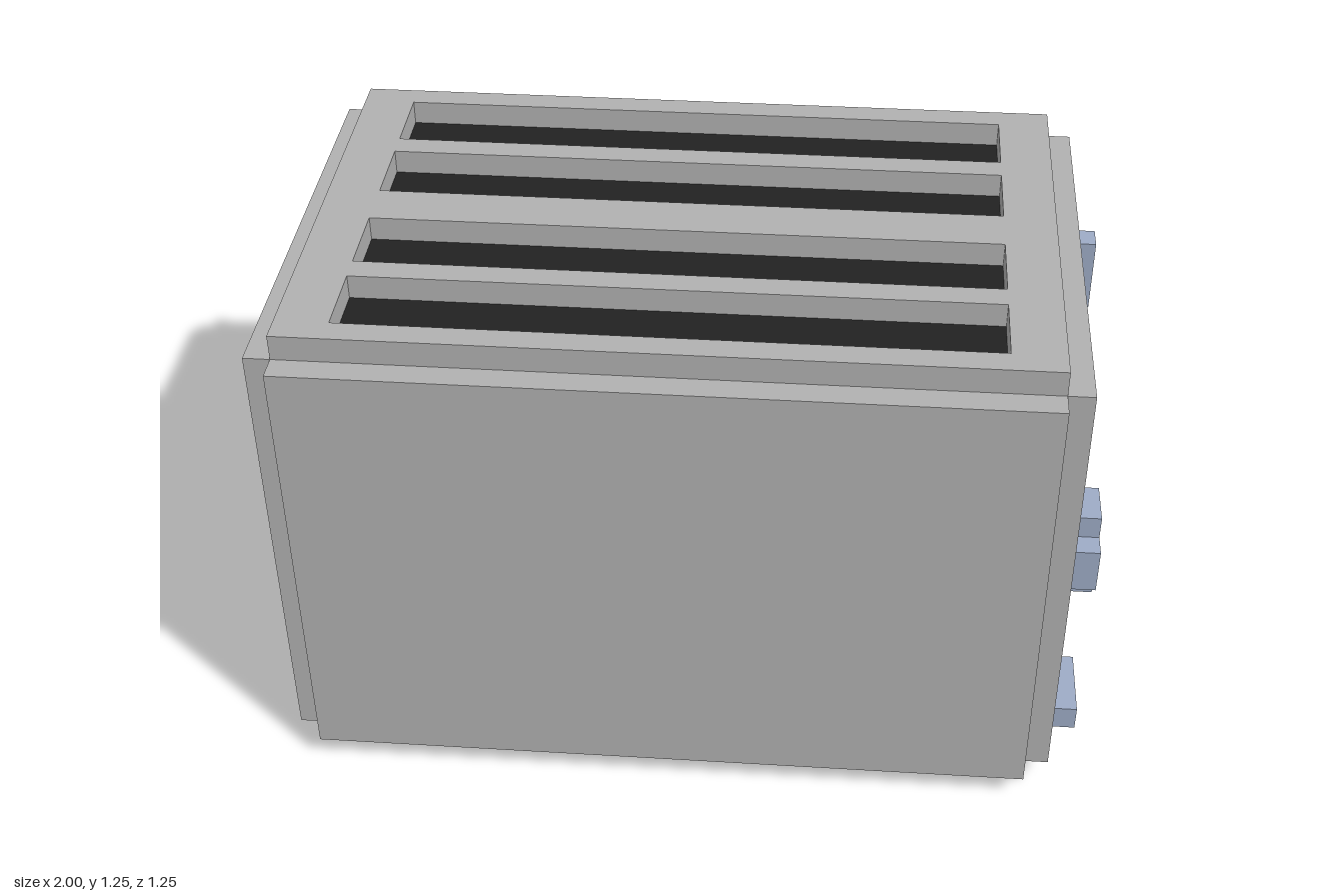
import * as THREE from 'three';

const U = 0.0625; // one block unit

const mat = (name, color) => {
  const m = new THREE.MeshStandardMaterial({ color });
  m.name = name;
  return m;
};

// Traces a rectangle into a Shape or Path
function rect(path, x0, y0, x1, y1) {
  path.moveTo(x0, y0);
  path.lineTo(x1, y0);
  path.lineTo(x1, y1);
  path.lineTo(x0, y1);
  path.closePath();
  return path;
}

// Flat plate one unit thick with rectangular holes
function plate(outline, holes) {
  const shape = rect(new THREE.Shape(), ...outline);
  for (const h of holes) shape.holes.push(rect(new THREE.Path(), ...h));
  return new THREE.ExtrudeGeometry(shape, { depth: U, bevelEnabled: false });
}

export function createModel() {
  const gray = mat('casing gray', 0xb1b1b1);
  const black = mat('interior black', 0x222222);
  const charcoal = mat('lever track charcoal', 0x333333);
  const blue = mat('control blue', 0x9eacc6);

  const model = new THREE.Group();
  model.name = 'toaster';

  const add = (name, geometry, material, parent = model) => {
    const mesh = new THREE.Mesh(geometry, material);
    mesh.name = name;
    parent.add(mesh);
    return mesh;
  };
  // Box given by its minimum and maximum corners
  const box = (name, material, [x0, y0, z0], [x1, y1, z1], parent) =>
    add(name, new THREE.BoxGeometry(x1 - x0, y1 - y0, z1 - z0), material, parent)
      .position.set((x0 + x1) / 2, (y0 + y1) / 2, (z0 + z1) / 2);

  const L = -15 * U, R = 13 * U, Z = 9 * U, B = U, T = 19 * U;

  // Casing: core with raised panels on every side
  box('core', gray, [L, B, -Z], [R, T, Z]);
  box('frontPanel', gray, [L, B, Z], [R, T, Z + U]);
  box('backPanel', gray, [L, B, -Z - U], [R, T, -Z]);
  box('leverOppositePanel', gray, [L - U, B, -Z], [L, T, Z]);

  // Top panel with four bread slots
  const slots = [-8, -4, 1, 5].map((z) => [z * U, (z + 3) * U]);
  const top = plate([L, -Z, R, Z], slots.map(([a, b]) => [-13 * U, a, 11 * U, b]));
  top.rotateX(-Math.PI / 2);
  add('topPanel', top, gray).position.y = T;
  for (const [a, b] of slots) {
    box('slotFloor', black, [-13 * U, T, a], [11 * U, T + 0.003, b]);
  }

  // Control panel with the lever track cut through it
  const control = plate([-Z, B, Z, T], [[-7 * U, 3 * U, -6 * U, 18 * U]]);
  control.rotateY(Math.PI / 2);
  add('controlPanel', control, gray).position.x = R;
  box('leverTrack', charcoal, [R, 3 * U, 6 * U], [R + 0.003, 18 * U, 7 * U]);

  // Base between two end rails
  box('base', black, [L + U, 0, -Z], [R - U, B, Z]);
  for (const x of [L, R - U]) box('endRail', gray, [x, 0, -Z], [x + U, B, Z]);

  // Controls: lever, three buttons and a stepped dial
  const X = R + U;
  box('lever', blue, [X, 2 * U, 5 * U], [X + U, 3 * U, 8 * U]);
  for (const y of [4, 9, 14]) {
    box('button', blue, [X, y * U, -5 * U], [X + U, (y + 3) * U, -4 * U]);
  }
  const dial = new THREE.Group();
  dial.name = 'dial';
  model.add(dial);
  box('dialUpright', blue, [X, 3 * U, -U], [X + 2 * U, 7 * U, U], dial);
  for (const z of [-2, 1]) {
    box('dialArm', blue, [X, 4 * U, z * U], [X + 2 * U, 6 * U, (z + 1) * U], dial);
  }

  return model;
}
